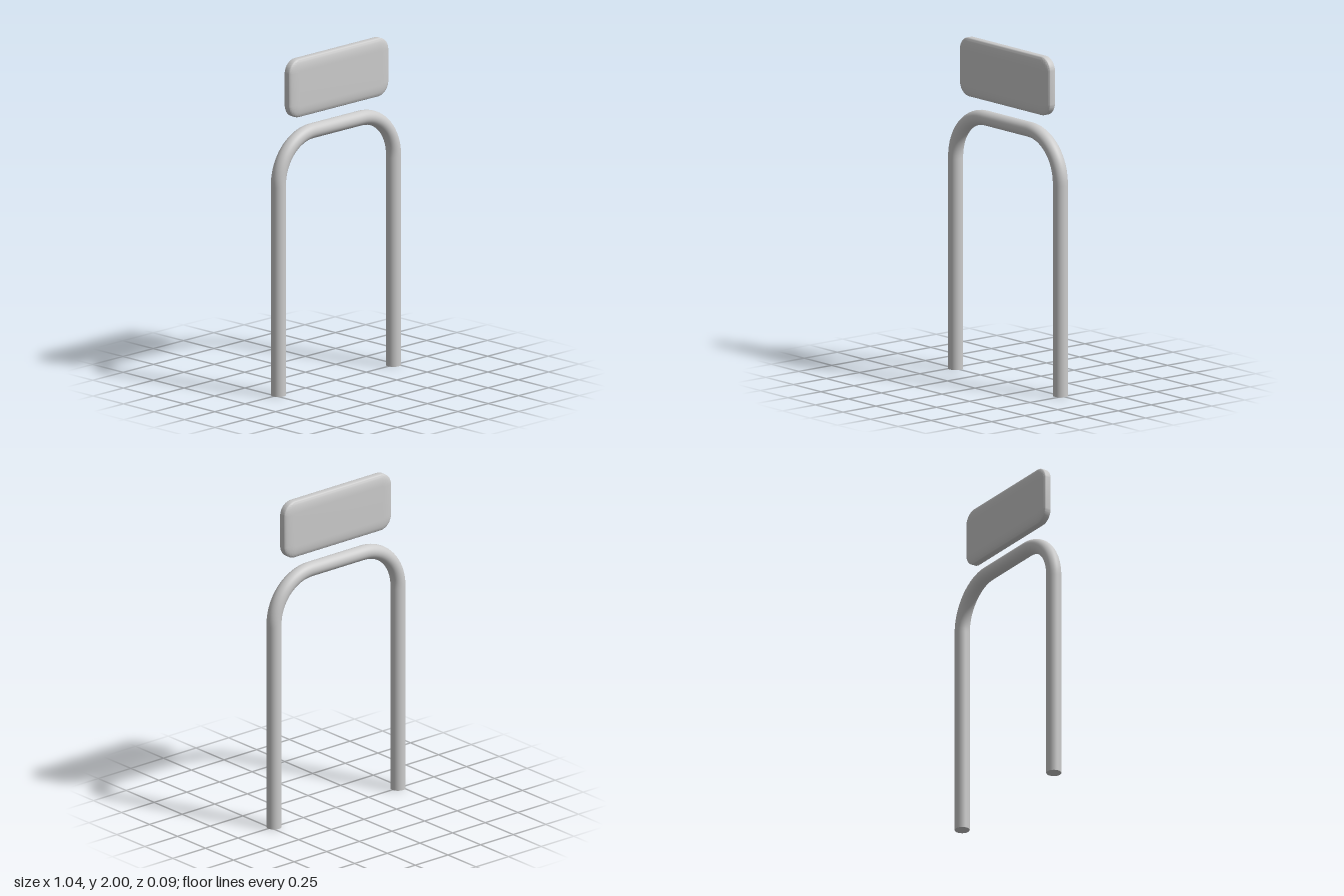
import * as THREE from 'three';
import { toCreasedNormals } from 'three/addons/utils/BufferGeometryUtils.js';

const TUBE_R = 0.044;
const LEG_X = 0.475; // leg centreline
const TOP_Y = 1.54; // crossbar centreline
const BEND = 0.275;

// Lifts a flat path into the z = 0 plane
class FlatCurve extends THREE.Curve {
  constructor(path) {
    super();
    this.path = path;
  }
  getPoint(t, target = new THREE.Vector3()) {
    const p = this.path.getPoint(t);
    return target.set(p.x, p.y, 0);
  }
}

function roundedRect(w, h, r) {
  const x = w / 2 - r, y = h / 2 - r;
  const s = new THREE.Shape();
  s.absarc(x, y, r, 0, Math.PI / 2);
  s.absarc(-x, y, r, Math.PI / 2, Math.PI);
  s.absarc(-x, -y, r, Math.PI, Math.PI * 1.5);
  s.absarc(x, -y, r, Math.PI * 1.5, Math.PI * 2);
  return s;
}

export function createModel() {
  const group = new THREE.Group();
  const material = new THREE.MeshStandardMaterial({ color: 0xcccccc });
  const add = (name, geometry) => {
    const mesh = new THREE.Mesh(geometry, material);
    mesh.name = name;
    group.add(mesh);
    return mesh;
  };

  // Bent tube: two legs joined by a crossbar
  const bendY = TOP_Y - BEND, bendX = LEG_X - BEND;
  const path = new THREE.Path();
  path.moveTo(-LEG_X, 0);
  path.lineTo(-LEG_X, bendY);
  path.absarc(-bendX, bendY, BEND, Math.PI, Math.PI / 2, true);
  path.lineTo(bendX, TOP_Y);
  path.absarc(bendX, bendY, BEND, Math.PI / 2, 0, true);
  path.lineTo(LEG_X, 0);
  add('tubeFrame', new THREE.TubeGeometry(new FlatCurve(path), 160, TUBE_R, 32, false));

  // Closed leg ends
  for (const [name, side] of [['leftLegEnd', 1], ['rightLegEnd', -1]]) {
    const cap = add(name, new THREE.CircleGeometry(TUBE_R, 32));
    cap.rotation.x = Math.PI / 2;
    cap.position.x = side * LEG_X;
  }

  // Cushioned back panel: rounded rectangle with a wide, shallow soft edge
  const edge = 0.07, edgeDepth = 0.019, core = 0.03;
  const panel = new THREE.ExtrudeGeometry(
    roundedRect(0.82 - 2 * edge, 0.35 - 2 * edge, 0.012),
    { depth: core, bevelEnabled: true, bevelSize: edge, bevelThickness: edgeDepth, bevelSegments: 10, curveSegments: 10 }
  );
  panel.translate(0, 0, -core / 2);
  add('backPanel', toCreasedNormals(panel, 0.7)).position.set(0, 1.825, 0.004);

  return group;
}
